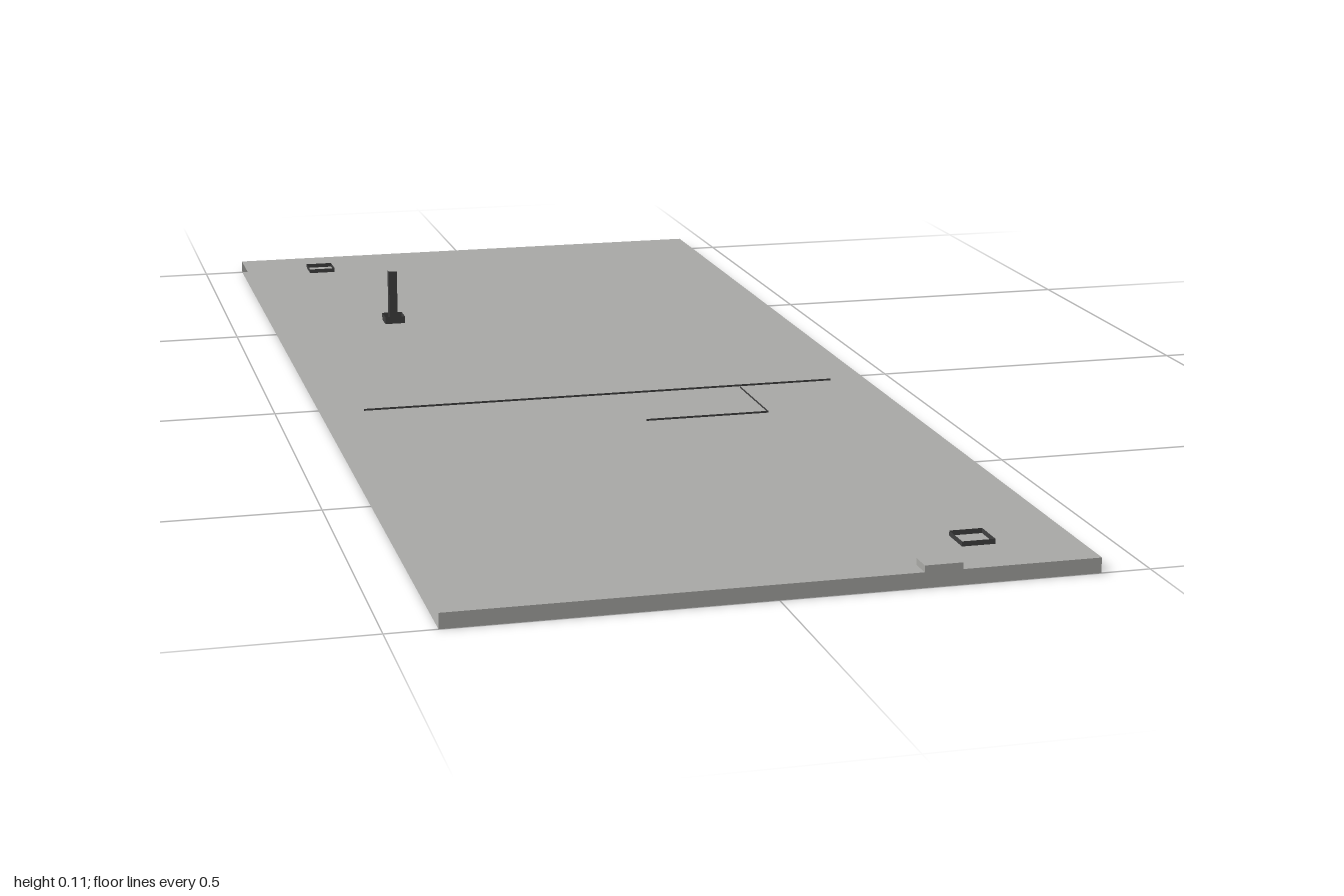
import * as THREE from 'three';

export function createModel() {
  const model = new THREE.Group();
  const grey = new THREE.MeshStandardMaterial({ color: 0xa8a8a5, side: THREE.DoubleSide });
  grey.name = 'light grey';
  const dark = new THREE.MeshStandardMaterial({ color: 0x404040, side: THREE.DoubleSide });
  dark.name = 'dark grey';

  // Keeps only the chosen box sides: 0 +x, 1 -x, 2 +y, 3 -y, 4 +z, 5 -z
  function block(name, x, y, z, w, h, d, sides, parent = model) {
    const geometry = new THREE.BoxGeometry(w, h, d);
    const index = geometry.index.array;
    geometry.setIndex(Object.keys(sides).flatMap(s => [...index.slice(s * 6, s * 6 + 6)]));
    geometry.clearGroups();
    let start = 0;
    const materials = [grey, dark];
    for (const s of Object.keys(sides)) {
      geometry.addGroup(start, 6, materials.indexOf(sides[s]));
      start += 6;
    }
    const mesh = new THREE.Mesh(geometry, materials);
    mesh.name = name;
    mesh.position.set(x, y + h / 2, z);
    parent.add(mesh);
    return mesh;
  }
  const walls = { 0: dark, 1: dark, 4: dark, 5: dark };
  const top = 0.021;

  // Thin board, open along its two long edges
  block('board', 0, 0, 0, 0.864, top, 2, { 2: grey, 3: grey, 4: grey, 5: grey });

  // Small raised frames near opposite corners
  for (const s of [1, -1]) {
    block(s > 0 ? 'frontPad' : 'backPad', s * 0.297, top, s * 0.893, 0.046, 0.007, 0.046, walls);
  }

  // Upright post on a square foot
  const post = new THREE.Group();
  post.name = 'post';
  model.add(post);
  block('postFoot', -0.233, top, -0.463, 0.034, 0.012, 0.034, walls, post);
  block('postShaft', -0.234, top, -0.463, 0.014, 0.09, 0.014, { ...walls, 2: grey }, post);

  // Tab on the front edge
  block('frontTab', 0.217, top, 0.985, 0.052, 0.009, 0.03, { 0: grey, 1: grey, 2: grey, 4: grey, 5: grey });

  // Fine upright ribbons marking lines on the board
  const lines = [
    ['crossLine', -0.375, 0.09, 0.375, 0.09],
    ['cornerLineAcross', 0.03, 0.247, 0.222, 0.247],
    ['cornerLineAlong', 0.222, 0.247, 0.222, 0.1],
  ];
  for (const [name, x0, z0, x1, z1] of lines) {
    const ribbon = new THREE.Mesh(new THREE.PlaneGeometry(Math.hypot(x1 - x0, z1 - z0), 0.003), dark);
    ribbon.name = name;
    ribbon.position.set((x0 + x1) / 2, top + 0.0015, (z0 + z1) / 2);
    ribbon.rotation.y = Math.atan2(z0 - z1, x1 - x0);
    model.add(ribbon);
  }
  return model;
}
